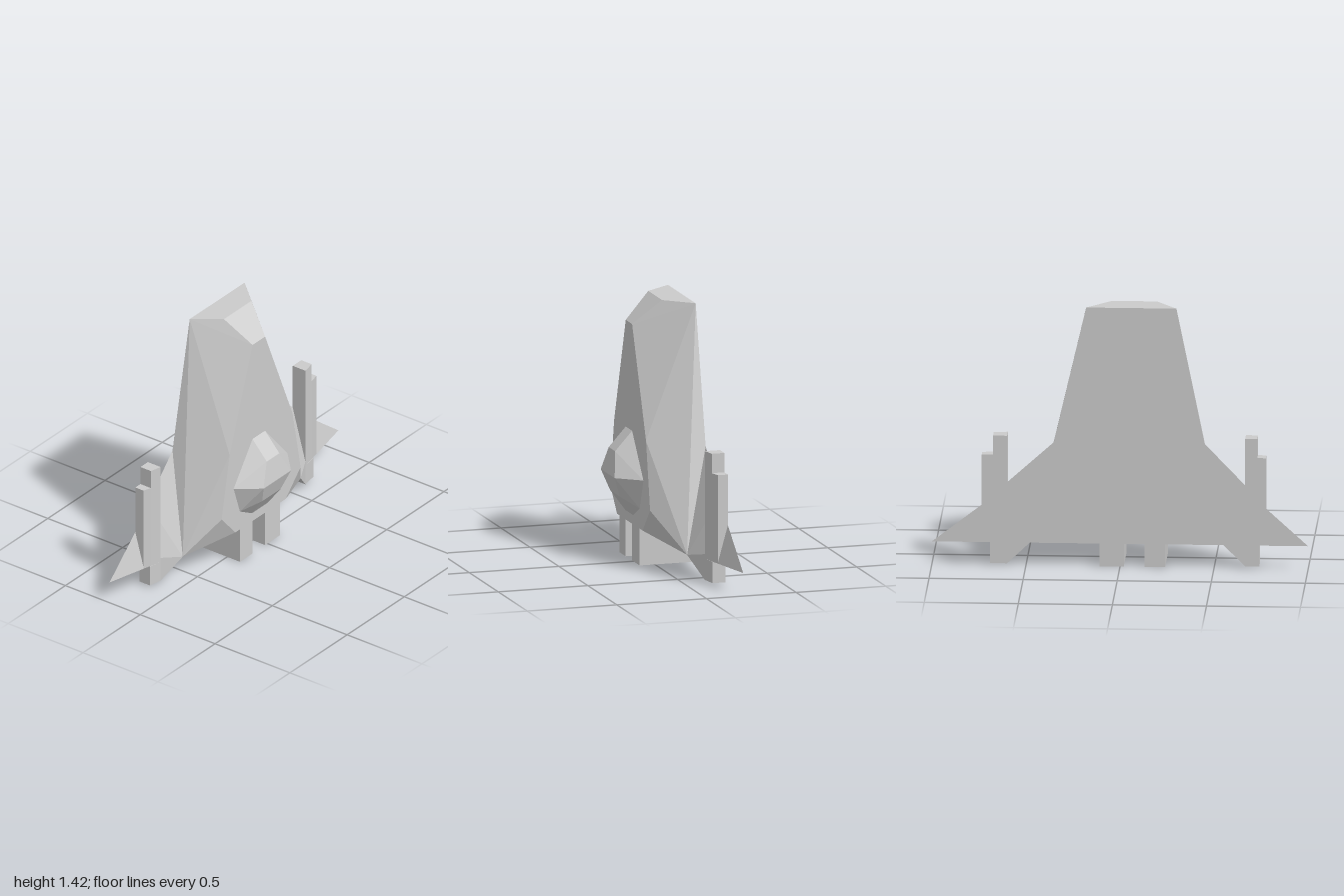
import * as THREE from 'three';
import { ConvexGeometry } from 'three/addons/geometries/ConvexGeometry.js';

const BACK = -0.205, MID = -0.06, FRONT = 0.085;

export function createModel() {
  const model = new THREE.Group();
  const material = new THREE.MeshStandardMaterial({ color: 0xcccccc, flatShading: true });

  // Faceted solid spanned by its corner points
  const solid = (name, points, parent = model) => {
    const geometry = new ConvexGeometry(points.map(p => new THREE.Vector3(...p)));
    const mesh = new THREE.Mesh(geometry, material);
    mesh.name = name;
    parent.add(mesh);
  };
  // Rows of [right x, left x, y, z] give a pair of corners each
  const pairs = rows => rows.flatMap(([a, b, y, z]) => [[a, y, z], [b, y, z]]);

  // Tapering hull: flat back, chamfered sides, nose and underside
  solid('hull', pairs([
    [-0.30, 0.18, 1.42, BACK], [-0.19, 0.05, 1.42, MID], [-0.13, -0.02, 1.285, FRONT],
    [-0.45, 0.35, 0.68, BACK], [-0.40, 0.30, 0.69, MID], [-0.33, 0.22, 0.70, FRONT],
    [-0.55, 0.48, 0.125, BACK], [-0.55, 0.48, 0.125, MID],
    [-0.40, 0.29, 0.335, FRONT], [-0.28, 0.16, 0.20, FRONT],
  ]));

  // Cockpit canopy on the front face
  solid('canopy', pairs([
    [-0.13, -0.02, 0.705, FRONT], [-0.13, -0.02, 0.60, 0.18],
    [-0.295, 0.175, 0.475, FRONT], [-0.19, 0.05, 0.47, 0.205],
    [-0.15, 0.01, 0.36, 0.165],
    [-0.24, 0.11, 0.31, FRONT], [-0.135, 0.0, 0.25, FRONT],
  ]));

  // Engine blocks below the hull
  for (const [name, x0, x1] of [['rightEngine', -0.24, -0.13], ['leftEngine', -0.02, 0.11]]) {
    const engine = new THREE.Mesh(new THREE.BoxGeometry(x1 - x0, 0.2, FRONT - BACK), material);
    engine.position.set((x0 + x1) / 2, 0.1, (FRONT + BACK) / 2);
    engine.name = name;
    model.add(engine);
  }

  // Wing with its stepped gun pod; x positions run from hull to tip
  const wing = (name, { root, corner, podIn, podMid, keel, podOut, tip }) => {
    const group = new THREE.Group();
    group.name = name;
    model.add(group);
    // Upright block with a front that slopes from z0 to z1
    const block = (part, x0, x1, y0, y1, z0, z1) => solid(part, [y0, y1].flatMap(y => [
      [x0, y, z0], [x1, y, z1], [x0, y, BACK], [x1, y, BACK],
    ]), group);

    solid('innerWing', [
      [root, 0.68, BACK], [corner, 0.125, MID], [corner, 0.125, BACK],
      [podIn, 0.455, BACK], [podIn, 0.15, -0.12], [podIn, 0.01, -0.12], [podIn, 0.01, BACK],
    ], group);
    block('gunBarrel', podIn, podMid, 0.125, 0.71, -0.12, -0.135);
    block('gunSide', podMid, podOut, 0.125, 0.605, -0.135, -0.15);
    block('podKeel', podIn, keel, 0.01, 0.125, -0.12, -0.135);
    solid('outerWing', [
      [podOut, 0.33, BACK], [podOut, 0.125, -0.148], [podOut, 0.125, BACK], [tip, 0.125, BACK],
    ], group);
  };
  wing('leftWing', {
    root: 0.35, corner: 0.48, podIn: 0.60, podMid: 0.675, keel: 0.69, podOut: 0.735, tip: 1,
  });
  wing('rightWing', {
    root: -0.45, corner: -0.55, podIn: -0.665, podMid: -0.73, keel: -0.74, podOut: -0.775, tip: -1,
  });

  return model;
}
